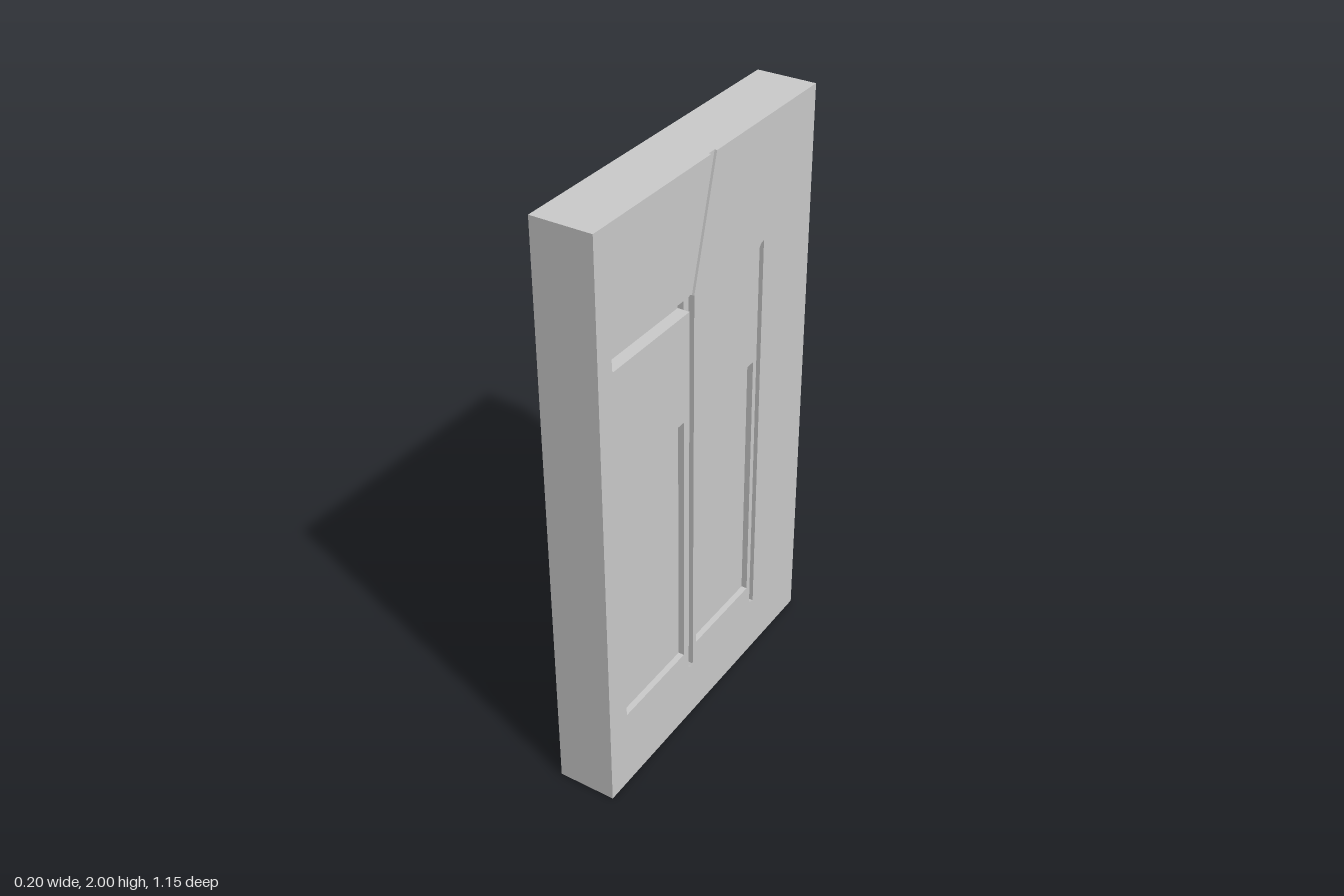
import * as THREE from 'three';

// Outlines are [u, y] on the decorated side, where u = -z.
const W = 0.575, H = 2;
const slab = [[-W, 0], [W, 0], [W, H], [-W, H]];
const slot = [[-0.505, 1.56], [-0.125, 1.56], [-0.125, 1.61], [-0.51, 1.61], [-0.51, 1.568]];
const longGroove = [[-0.125, 0.213], [-0.105, 0.202], [-0.1, 0.21], [-0.1, 1.6], [-0.125, 1.61]];
const sideGroove = [[0.265, 0.215], [0.29, 0.205], [0.29, 1.605], [0.272, 1.6], [0.265, 1.59]];
const panel = (u0, u1) => [[u0, 0.29], [u1, 0.29], [u1, 1.2], [u0, 1.2]];
const panels = [panel(-0.485, -0.155), panel(-0.08, 0.245)];

// long groove joined with the horizontal slot
const branch = [...longGroove, [-0.51, 1.61], [-0.51, 1.568], [-0.505, 1.56], [-0.125, 1.56]];

// slab outline split at the top by the slanted groove that runs into the branch
const splitSlab = [
  [-W, 0], [W, 0], [W, H], [-0.014, H].map((v, i) => (i ? v : 0.014)),
  [-0.1, 1.6], [-0.1, 0.21], [-0.105, 0.202], [-0.125, 0.213], [-0.125, 1.56],
  [-0.505, 1.56], [-0.51, 1.568], [-0.51, 1.61], [-0.125, 1.61], [-0.016, H], [-W, H],
];

const toPoints = (list) => list.map(([u, y]) => new THREE.Vector2(u, y));

export function createModel() {
  const group = new THREE.Group();
  const material = new THREE.MeshStandardMaterial({ color: 0xcccccc, flatShading: true });

  // A sheet of the slab between two x positions, pierced by the given outlines
  const addLayer = (name, x0, x1, outline, holes) => {
    const shape = new THREE.Shape(toPoints(outline));
    holes.forEach((h) => shape.holes.push(new THREE.Path(toPoints(h))));
    const geometry = new THREE.ExtrudeGeometry(shape, { depth: x1 - x0, bevelEnabled: false });
    geometry.rotateY(Math.PI / 2).translate(x0, 0, 0);
    const mesh = new THREE.Mesh(geometry, material);
    mesh.name = name;
    group.add(mesh);
  };

  // Solid core, then the layers that form the recesses from deep to shallow
  addLayer('slabCore', -0.1, 0.06, slab, []);
  addLayer('slotLayer', 0.06, 0.08, slab, [slot]);
  addLayer('panelLayer', 0.08, 0.092, slab, [branch, sideGroove, ...panels]);
  addLayer('faceLayer', 0.092, 0.1, splitSlab, [sideGroove, ...panels]);

  group.name = 'groovedSlab';
  return group;
}
